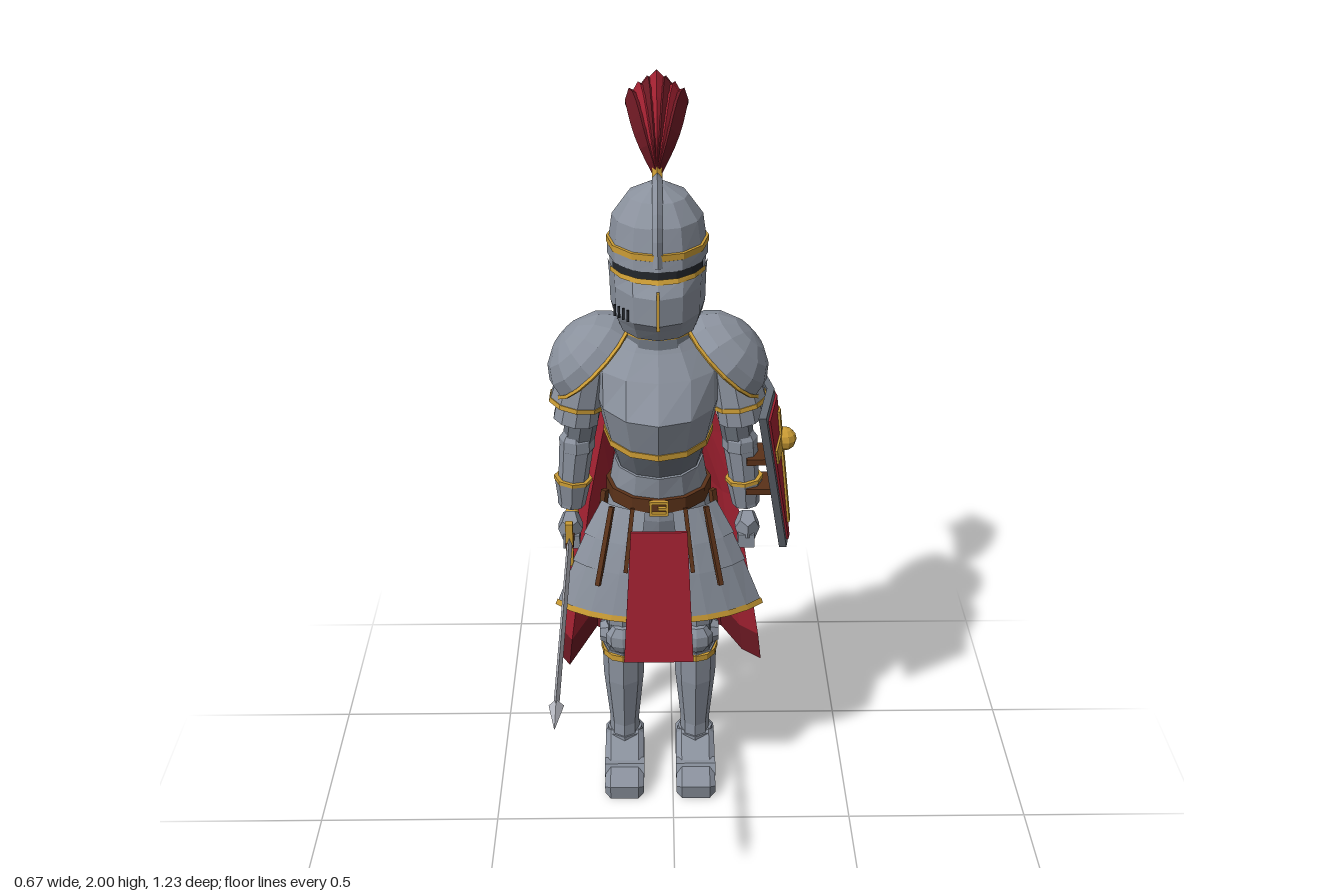
import * as THREE from 'three';

const paint = (name, color) => {
  const m = new THREE.MeshStandardMaterial({ color, side: THREE.DoubleSide });
  m.name = name;
  return m;
};

export function createModel() {
  const steel = paint('steel', 0x8a919d), darkSteel = paint('dark steel', 0x676e78);
  const red = paint('red cloth', 0xa02030), darkRed = paint('dark red hem', 0x6a1822);
  const gold = paint('gold', 0xcb9c35), leather = paint('leather', 0x5b3219);
  const hairBrown = paint('hair brown', 0x4d2f1a), blade = paint('blade', 0xb4b6be);
  const black = paint('slit black', 0x24272c);

  const root = new THREE.Group();
  root.name = 'knight';
  const body = new THREE.Group();
  body.name = 'figure';
  body.position.set(-0.037, 0, -0.285);
  root.add(body);

  // Every part gets flat facets
  const add = (name, geo, mat) => {
    const g = geo.index ? geo.toNonIndexed() : geo;
    g.computeVertexNormals();
    const m = new THREE.Mesh(g, mat);
    m.name = name;
    body.add(m);
    return m;
  };

  // Surface through rings [y, halfWidth, front z, back z, centre x, centre z], bottom to top
  const loft = (rings, n = 12, a0 = 0, a1 = Math.PI * 2) => {
    const full = a1 - a0 > 6.28, pos = [], idx = [];
    for (const [y, rx, zf, zb, cx = 0, cz = 0] of rings)
      for (let i = 0; i <= n; i++) {
        const a = a0 + (a1 - a0) * i / n, c = Math.cos(a);
        pos.push(cx + rx * Math.sin(a), y, cz + c * (c > 0 ? zf : -zb));
      }
    const w = n + 1;
    for (let r = 0; r < rings.length - 1; r++)
      for (let i = 0; i < n; i++) {
        const a = r * w + i, b = a + w;
        idx.push(a, a + 1, b + 1, a, b + 1, b);
      }
    if (full) {
      const top = (rings.length - 1) * w;
      for (let i = 1; i < n - 1; i++) idx.push(0, i + 1, i, top, top + i, top + i + 1);
    }
    const g = new THREE.BufferGeometry();
    g.setAttribute('position', new THREE.Float32BufferAttribute(pos, 3));
    g.setIndex(idx);
    return g;
  };
  const band = (y, h, rx, zf, zb, cx, cz) => loft([[y - h, rx, zf, zb, cx, cz], [y + h, rx, zf, zb, cx, cz]]);

  // Tapered cylinder from p to q
  const limb = (p, q, r1, r2, sides = 8) => {
    const a = new THREE.Vector3(...p), b = new THREE.Vector3(...q), d = b.clone().sub(a);
    const g = new THREE.CylinderGeometry(r2, r1, d.length(), sides);
    g.applyQuaternion(new THREE.Quaternion().setFromUnitVectors(new THREE.Vector3(0, 1, 0), d.normalize()));
    return g.translate(...a.add(b).multiplyScalar(0.5).toArray());
  };
  // Tube whose radius follows a rule
  const taperTube = (pts, r, rule, seg = 9, sides = 4) => {
    const curve = new THREE.CatmullRomCurve3(pts.map(p => new THREE.Vector3(...p)));
    const g = new THREE.TubeGeometry(curve, seg, r, sides), p = g.attributes.position, v = new THREE.Vector3();
    for (let i = 0; i < p.count; i++) {
      const t = Math.floor(i / (sides + 1)) / seg, c = curve.getPointAt(t);
      v.fromBufferAttribute(p, i).sub(c).multiplyScalar(rule(t)).add(c);
      p.setXYZ(i, v.x, v.y, v.z);
    }
    return g;
  };
  const box = (w, h, d, x, y, z) => new THREE.BoxGeometry(w, h, d).translate(x, y, z);

  // Torso, collar and belt
  add('hips', loft([[0.76, 0.13, 0.09, -0.09], [0.88, 0.15, 0.12, -0.11], [0.97, 0.125, 0.12, -0.1]]), steel);
  add('waist', loft([[0.96, 0.12, 0.12, -0.1], [1.02, 0.115, 0.13, -0.1], [1.1, 0.138, 0.17, -0.115]]), darkSteel);
  add('waistPlate', loft([[0.95, 0.132, 0.13, -0.108], [1.02, 0.12, 0.14, -0.105]]), steel);
  add('breastplate', loft([[1.1, 0.14, 0.175, -0.115], [1.21, 0.165, 0.213, -0.125], [1.3, 0.165, 0.15, -0.125],
    [1.36, 0.12, 0.105, -0.11], [1.41, 0.08, 0.075, -0.085]]), steel);
  add('breastTrim', band(1.103, 0.008, 0.146, 0.182, -0.12), gold);
  add('gorget', loft([[1.37, 0.1, 0.1, -0.1], [1.43, 0.085, 0.085, -0.09]]), darkSteel);
  add('collarTrim', band(1.4, 0.006, 0.098, 0.095, -0.1), gold);
  add('belt', band(0.937, 0.02, 0.142, 0.143, -0.118), leather);
  for (const [w, h, x, y] of [[0.045, 0.007, 0, 0.955], [0.045, 0.007, 0, 0.92], [0.007, 0.04, -0.022, 0.937],
    [0.007, 0.04, 0.022, 0.937], [0.025, 0.007, 0.01, 0.937]])
    add('buckle', box(w, h, 0.012, x, y, 0.148), gold);

  // Front cloth
  const cloth = new THREE.Shape([[-0.075, 0.885], [-0.097, 0.505], [0.092, 0.505], [0.075, 0.885]].map(p => new THREE.Vector2(...p)));
  const clothGeo = new THREE.ExtrudeGeometry(cloth, { depth: 0.008, bevelEnabled: false });
  const cp = clothGeo.attributes.position;
  for (let i = 0; i < cp.count; i++) cp.setZ(i, cp.getZ(i) + 0.178 + (0.885 - cp.getY(i)) * 0.13);
  add('frontCloth', clothGeo, red);

  // Helmet with visor
  add('helmet', loft([[1.41, 0.1, 0.1, -0.1], [1.46, 0.116, 0.13, -0.128], [1.63, 0.124, 0.145, -0.136],
    [1.7, 0.114, 0.128, -0.122], [1.75, 0.077, 0.085, -0.085], [1.778, 0.02, 0.025, -0.025]]), steel);
  add('helmetBand', band(1.635, 0.008, 0.129, 0.152, -0.141), gold);
  add('browPlate', loft([[1.6, 0.127, 0.156, 0], [1.627, 0.127, 0.152, 0]], 6, -1.5, 1.5), steel);
  add('eyeSlit', loft([[1.58, 0.126, 0.15, 0], [1.6, 0.126, 0.15, 0]], 6, -1.1, 1.1), black);
  add('visor', loft([[1.412, 0.103, 0.135, 0], [1.445, 0.115, 0.16, 0], [1.47, 0.121, 0.184, 0], [1.54, 0.123, 0.184, 0],
    [1.58, 0.126, 0.156, 0]], 6, -1.57, 1.57), steel);
  add('visorTrim', loft([[1.572, 0.128, 0.165, 0], [1.584, 0.128, 0.159, 0]], 6, -1.2, 1.2), gold);
  add('visorRidge', box(0.008, 0.1, 0.01, 0, 1.51, 0.183), gold);
  for (let i = 0; i < 4; i++)
    add('breathSlot', box(0.006, 0.03, 0.006, -0.075 - i * 0.011, 1.485, 0.147 - i * 0.013).rotateY(0), black);
  add('crestRidge', taperTube([[0, 1.61, 0.15], [0, 1.7, 0.13], [0, 1.755, 0.08], [0, 1.782, 0], [0, 1.75, -0.09], [0, 1.66, -0.135]],
    0.013, () => 1, 14), steel);

  // Plume
  add('plumeHolder', limb([0, 1.75, -0.045], [0, 1.8, -0.058], 0.016, 0.014, 6), gold);
  for (let i = -3; i <= 3; i++) {
    const k = Math.abs(i) / 3, x = i / 3;
    add('plumeFeather', taperTube([[0, 1.78, -0.055], [x * 0.022, 1.87 - k * 0.015, -0.075], [x * 0.045, 1.957 - k * 0.035, -0.15],
      [x * 0.062, 1.972 - k * 0.04, -0.235 + k * 0.02], [x * 0.075, 1.915 - k * 0.03, -0.322 + k * 0.06]],
      0.03, t => 0.35 + 0.7 * Math.sin(Math.PI * Math.min(t * 1.05, 1)) - (t > 0.95 ? 0.3 : 0)), i % 2 ? darkRed : red);
  }

  // Hair tail
  for (const s of [1, -1])
    add('hairTail', loft([[1.35, 0.012, 0.012, -0.012, s * 0.012, -0.155], [1.43, 0.026, 0.026, -0.026, s * 0.018, -0.17],
      [1.56, 0.03, 0.03, -0.03, s * 0.02, -0.174], [1.65, 0.024, 0.024, -0.026, s * 0.016, -0.163],
      [1.69, 0.01, 0.012, -0.012, s * 0.008, -0.148]], 7), hairBrown);

  // Cape: rows of [y, half width, centre z, edge z] with pleats across
  const rows = [[1.38, 0.105, -0.155, -0.125], [1.2, 0.13, -0.178, -0.12], [1.02, 0.175, -0.212, -0.115], [0.82, 0.22, -0.282, -0.1],
    [0.55, 0.262, -0.307, -0.085], [0.37, 0.29, -0.32, -0.075], [0.285, 0.3, -0.326, -0.07]];
  const px = [-1, -0.88, -0.63, -0.45, -0.25, -0.1, 0.08, 0.25, 0.43, 0.63, 0.82, 1];
  const pz = [0.25, 0, 0.8, 0.62, 0.9, 0.72, 1, 0.7, 0.9, 0.8, 0.3, 0.1];
  const cape = list => {
    const pos = [], idx = [], n = px.length;
    for (const [y, w, zc, ze] of list) px.forEach((u, j) => pos.push(u * w, y, ze + (zc - ze) * pz[j]));
    for (let r = 0; r < list.length - 1; r++)
      for (let j = 0; j < n - 1; j++) {
        const a = r * n + j, b = a + n;
        idx.push(a, a + 1, b + 1, a, b + 1, b);
      }
    const g = new THREE.BufferGeometry();
    g.setAttribute('position', new THREE.Float32BufferAttribute(pos, 3));
    g.setIndex(idx);
    return g;
  };
  add('cape', cape(rows.slice(0, 6)), red);
  add('capeHem', cape(rows.slice(5)), darkRed);

  // Boot side outline
  const boot = new THREE.Shape([[-0.035, 0.015], [0.188, 0.015], [0.192, 0.04], [0.12, 0.07], [0.04, 0.115], [-0.035, 0.095]]
    .map(p => new THREE.Vector2(...p)));

  for (const s of [1, -1]) {
    // Legs
    const cx = s * 0.103;
    add('thigh', loft([[0.5, 0.05, 0.058, -0.058, cx, 0.03], [0.62, 0.06, 0.066, -0.066, cx, 0.028], [0.85, 0.068, 0.08, -0.08, cx, 0.015]], 8), steel);
    add('knee', loft([[0.41, 0.052, 0.065, -0.06, cx, 0.02], [0.52, 0.052, 0.06, -0.055, cx, 0.03]], 8), darkSteel);
    add('kneeCap', new THREE.SphereGeometry(0.048, 8, 5).scale(1, 1, 0.7).translate(cx, 0.48, 0.077), steel);
    add('kneeWing', limb([cx + s * 0.04, 0.48, 0.04], [cx + s * 0.064, 0.48, 0.04], 0.04, 0.028), steel);
    add('greave', loft([[0.09, 0.043, 0.055, -0.055, cx, 0.015], [0.16, 0.042, 0.055, -0.055, cx, 0.01],
      [0.32, 0.058, 0.076, -0.085, cx, 0.01], [0.43, 0.06, 0.078, -0.078, cx, 0.01]], 8), steel);
    add('greaveTrim', band(0.415, 0.009, 0.063, 0.083, -0.083, cx, 0.01), gold);
    const bg = new THREE.ExtrudeGeometry(boot, { depth: 0.08, bevelSize: 0.013, bevelThickness: 0.016, bevelSegments: 1 });
    add('boot', bg.translate(0, 0, -0.04).rotateY(-Math.PI / 2).translate(cx, 0, 0), steel);
    add('bootCuff', loft([[0.06, 0.057, 0.06, -0.06, cx, 0.01], [0.125, 0.05, 0.06, -0.06, cx, 0.012]], 8), steel);
    add('toeLame', limb([cx - 0.057, 0.056, 0.125], [cx + 0.057, 0.056, 0.125], 0.03, 0.03, 6), steel);

    // Hip plates in overlapping rows with a gold hem
    const arc = s > 0 ? [0.2, 1.02] : [-1.02, -0.2];
    for (const [y0, r0, z0, y1, r1, z1] of [[0.62, 0.33, 0.213, 0.76, 0.265, 0.185], [0.75, 0.275, 0.19, 0.84, 0.228, 0.165],
      [0.83, 0.238, 0.17, 0.92, 0.18, 0.135]])
      add('hipPlate', loft([[y0, r0, z0, 0], [y1, r1, z1, 0]], 4, ...arc), steel);
    add('hipPlateTrim', loft([[0.618, 0.335, 0.218, 0], [0.634, 0.328, 0.214, 0]], 4, ...arc), gold);
    add('hangingStrap', limb([s * 0.125, 0.93, 0.125], [s * 0.165, 0.72, 0.182], 0.009, 0.009, 4), leather);
    add('hangingStrap', limb([s * 0.07, 0.93, 0.135], [s * 0.09, 0.76, 0.182], 0.008, 0.008, 4), leather);
    add('sideStrap', limb([s * 0.145, 0.93, 0.03], [s * 0.172, 0.7, 0.06], 0.011, 0.011, 4), leather);

    // Shoulder domes with rims
    const place = g => g.scale(0.137, 0.105, 0.127).rotateZ(-s * 0.8).translate(s * 0.168, 1.307, 0);
    add('pauldron', place(new THREE.SphereGeometry(1, 12, 4, 0, Math.PI * 2, 0, Math.PI / 2)), steel);
    add('pauldronTrim', place(new THREE.TorusGeometry(1, 0.055, 4, 16).rotateX(Math.PI / 2)), gold);

    // Arms
    const at = (x, y, z = 0) => [s * x, y, z];
    add('upperArm', limb(at(0.18, 1.28), at(0.215, 1.06), 0.05, 0.042), darkSteel);
    add('armLame', limb(at(0.212, 1.185), at(0.19, 1.29), 0.076, 0.066, 10), steel);
    add('armLameTrim', limb(at(0.213, 1.18), at(0.211, 1.192), 0.079, 0.078, 10), gold);
    add('armLame', limb(at(0.219, 1.13), at(0.207, 1.2), 0.062, 0.058, 10), steel);
    add('elbow', new THREE.SphereGeometry(0.05, 8, 5).translate(...at(0.218, 1.06)), steel);
    add('forearm', limb(at(0.24, 0.87), at(0.22, 1.05), 0.036, 0.046), steel);
    add('cuff', limb(at(0.237, 0.87), at(0.232, 0.95), 0.036, 0.05), steel);
    add('cuffTrim', limb(at(0.232, 0.945), at(0.231, 0.955), 0.052, 0.052), gold);
    add('hand', new THREE.DodecahedronGeometry(0.045).scale(0.8, 1.1, 1).translate(...at(0.243, 0.8)), steel);
    for (let i = 0; i < 4; i++)
      add('finger', box(0.045, 0.04, 0.016, s * 0.24, 0.77, -0.03 + i * 0.02), steel);
  }

  // Sword pointing forward
  const sx = -0.243, sy = 0.79;
  add('swordGrip', limb([sx, sy, -0.08], [sx, sy, 0.09], 0.013, 0.013, 6), leather);
  add('pommel', new THREE.SphereGeometry(0.02, 8, 6).translate(sx, sy, -0.09), gold);
  add('crossguard', box(0.02, 0.13, 0.02, sx, sy, 0.08), gold);
  add('swordBlade', limb([sx, sy, 0.08], [sx, sy, 0.825], 0.023, 0.021, 4).translate(-sx, 0, 0).scale(0.33, 1, 1).translate(sx, 0, 0), blade);
  add('swordTip', limb([sx, sy, 0.815], [sx, sy, 0.905], 0.018, 0.001, 4), blade);

  // Shield plates: half outlines mirrored, folded along the middle and tilted
  const shieldPlate = (name, half, depth, lift, mat) => {
    for (const s of [1, -1]) {
      const shape = new THREE.Shape(half.map(([z, y]) => new THREE.Vector2(s * z, y)));
      const g = new THREE.ExtrudeGeometry(shape, { depth, bevelEnabled: false }).rotateY(Math.PI / 2);
      const p = g.attributes.position;
      for (let i = 0; i < p.count; i++)
        p.setX(i, p.getX(i) + 0.312 + lift - 0.18 * Math.abs(p.getZ(i)) - 0.11 * (p.getY(i) - 0.98));
      add(name, g, mat);
    }
  };
  shieldPlate('shieldRim', [[0, 1.215], [0.178, 1.215], [0.037, 0.75], [0, 0.75]], 0.02, 0, darkSteel);
  shieldPlate('shieldFace', [[0, 1.195], [0.153, 1.195], [0.025, 0.768], [0, 0.768]], 0.006, 0.02, red);
  shieldPlate('shieldCrossUpright', [[0, 1.155], [0.021, 1.155], [0.021, 0.82], [0, 0.82]], 0.006, 0.026, gold);
  shieldPlate('shieldCrossBar', [[0, 1.09], [0.118, 1.09], [0.105, 1.045], [0, 1.045]], 0.0055, 0.026, gold);
  add('shieldBoss', new THREE.SphereGeometry(0.032, 10, 6).translate(0.338, 1.067, 0), gold);
  for (const y of [1.02, 0.93]) add('shieldStrap', box(0.08, 0.018, 0.1, 0.275, y, 0), leather);

  return root;
}
